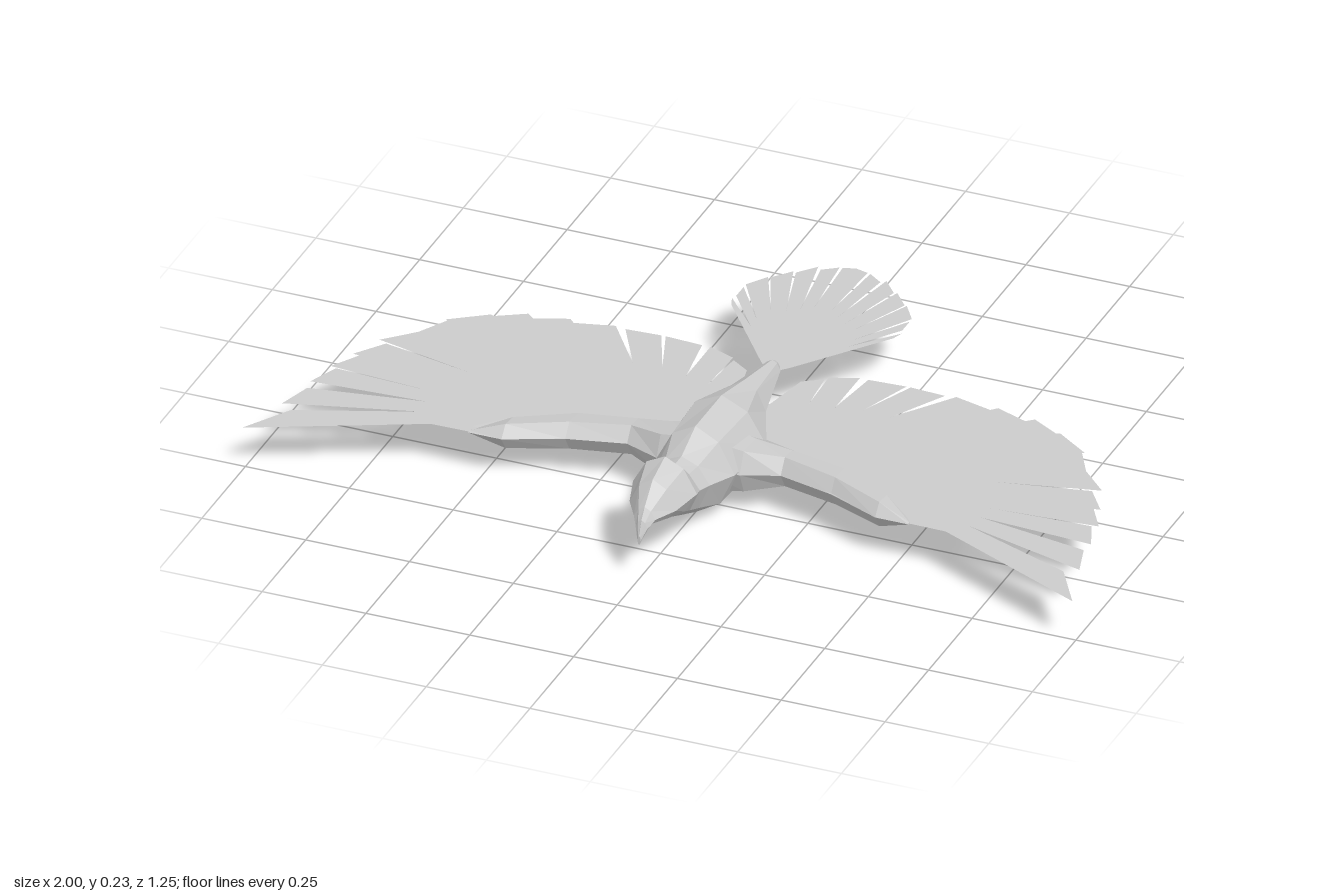
import * as THREE from 'three';

const solid = () => new THREE.MeshStandardMaterial({ color: 0xcccccc, flatShading: true });
const thin = () => new THREE.MeshStandardMaterial({ color: 0xcccccc, flatShading: true, side: THREE.DoubleSide });

// Skin a list of equal-length rings (counter-clockwise seen from the far end) and cap both ends
function loft(rings) {
  const n = rings[0].length;
  const index = [];
  for (let i = 0; i < rings.length - 1; i++) {
    for (let j = 0; j < n; j++) {
      const a = i * n + j, b = i * n + (j + 1) % n;
      index.push(a, b, b + n, a, b + n, a + n);
    }
  }
  const last = (rings.length - 1) * n;
  for (let j = 1; j < n - 1; j++) {
    index.push(0, j + 1, j, last, last + j, last + j + 1);
  }
  const geo = new THREE.BufferGeometry();
  geo.setAttribute('position', new THREE.Float32BufferAttribute(rings.flat(2), 3));
  geo.setIndex(index);
  const flat = geo.toNonIndexed();
  flat.computeVertexNormals();
  return flat;
}

// Flat sheet from [x, z] outline points at height y
function sheet(points, y) {
  const shape = new THREE.Shape(points.map(([x, z]) => new THREE.Vector2(x, z)));
  return new THREE.ShapeGeometry(shape).rotateX(Math.PI / 2).translate(0, y, 0);
}

function add(group, name, geometry, material) {
  const mesh = new THREE.Mesh(geometry, material);
  mesh.name = name;
  group.add(mesh);
}

// Octagonal body section: z, half width, top, side height, bottom
function bodyRing([z, w, top, mid, bottom]) {
  const up = mid + (top - mid) * 0.72, low = mid + (bottom - mid) * 0.7;
  return [
    [w, mid, z], [w * 0.58, up, z], [0, top, z], [-w * 0.58, up, z],
    [-w, mid, z], [-w * 0.62, low, z], [0, bottom, z], [w * 0.62, low, z],
  ];
}

// Six-sided arm section: x, front z, front ridge z, back ridge z, trailing z, upper y, lower y
function armRing([x, front, ridge, back, trail, hi, lo]) {
  return [
    [x, hi - 0.005, back], [x, hi, ridge], [x, 0.113, front],
    [x, lo, ridge], [x, lo + 0.005, back], [x, 0.115, trail],
  ];
}

const BODY = [
  [-0.155, 0.012, 0.153, 0.14, 0.128],
  [-0.14, 0.02, 0.162, 0.138, 0.118],
  [0.02, 0.052, 0.195, 0.125, 0.088],
  [0.15, 0.108, 0.225, 0.12, 0.005],
  [0.3, 0.095, 0.225, 0.12, 0.005],
  [0.38, 0.068, 0.19, 0.13, 0.04],
  [0.425, 0.063, 0.19, 0.14, 0.06],
  [0.475, 0.077, 0.24, 0.16, 0.088],
  [0.545, 0.056, 0.218, 0.15, 0.115],
  [0.592, 0.026, 0.172, 0.145, 0.127],
  [0.61, 0.014, 0.148, 0.128, 0.108],
  [0.624, 0.004, 0.115, 0.103, 0.092],
];

const ARM = [
  [0.03, 0.3, 0.27, 0.18, 0.1, 0.175, 0.05],
  [0.1, 0.285, 0.262, 0.19, 0.12, 0.162, 0.06],
  [0.185, 0.252, 0.228, 0.185, 0.145, 0.148, 0.074],
  [0.32, 0.285, 0.262, 0.21, 0.18, 0.145, 0.076],
  [0.45, 0.342, 0.318, 0.275, 0.26, 0.14, 0.078],
  [0.53, 0.342, 0.337, 0.325, 0.315, 0.116, 0.11],
];

// Wing feather tips: leading corner x, z and trailing corner x, z
const WING_TIPS = [
  [1, 0.52, 0.93, 0.405], [0.96, 0.385, 0.935, 0.3], [0.94, 0.27, 0.91, 0.195],
  [0.925, 0.19, 0.88, 0.115], [0.9, 0.12, 0.85, 0.05], [0.87, 0.04, 0.8, -0.03],
  [0.81, -0.015, 0.76, -0.105], [0.77, -0.1, 0.685, -0.16], [0.695, -0.145, 0.61, -0.195],
  [0.605, -0.175, 0.515, -0.21], [0.505, -0.195, 0.41, -0.22], [0.385, -0.215, 0.3, -0.22],
  [0.29, -0.22, 0.2, -0.215], [0.18, -0.215, 0.115, -0.19], [0.11, -0.18, 0.065, -0.15],
];

// Curve on which the slits between the wing feathers end
const SLITS = new THREE.CatmullRomCurve3(
  [[0.66, 0.3], [0.67, 0.2], [0.62, 0.08], [0.52, -0.01], [0.4, -0.06], [0.25, -0.08], [0.12, -0.06]]
    .map(([x, z]) => new THREE.Vector3(x, 0, z)));

// Tail feather tips from the centre outward
const TAIL_TIPS = [
  [0, -0.625, 0.03, -0.617], [0.037, -0.615, 0.072, -0.59], [0.082, -0.6, 0.118, -0.557],
  [0.125, -0.56, 0.162, -0.515], [0.167, -0.515, 0.2, -0.465], [0.2, -0.453, 0.2, -0.41],
  [0.205, -0.398, 0.195, -0.37],
];

function wingOutline() {
  const points = [[0, 0.22], [0.185, 0.235], [0.46, 0.34], [0.62, 0.342]];
  WING_TIPS.forEach(([ax, az, bx, bz], i) => {
    points.push([ax, az], [bx, bz]);
    if (i < WING_TIPS.length - 1) {
      const p = SLITS.getPoint(i / (WING_TIPS.length - 2));
      points.push([p.x, p.z]);
    }
  });
  points.push([0.04, -0.03], [0, -0.03]);
  return points;
}

function tailOutline() {
  const half = [];
  TAIL_TIPS.forEach(([ax, az, bx, bz], i) => {
    if (i > 0) half.push([ax, az]);
    half.push([bx, bz]);
    const next = TAIL_TIPS[i + 1];
    if (next) { // slit running toward the tail root
      const mx = (bx + next[0]) / 2, mz = (bz + next[1]) / 2;
      half.push([mx * 0.58, -0.15 + (mz + 0.15) * 0.58]);
    }
  });
  half.push([0.035, -0.16], [0.012, -0.135]);
  const mirrored = half.map(([x, z]) => [-x, z]).reverse();
  return [[0, -0.625], ...half, ...mirrored];
}

export function createModel() {
  const model = new THREE.Group();
  model.name = 'bird';

  // Body, neck, head and hooked beak in one skin
  add(model, 'body', loft(BODY.map(bodyRing)), solid());

  // Wings
  for (const [side, s] of [['left', 1], ['right', -1]]) {
    const wing = new THREE.Group();
    wing.name = side + 'Wing';
    const rings = ARM.map(armRing).map(r => r.map(([x, y, z]) => [s * x, y, z]));
    if (s < 0) rings.reverse();
    add(wing, side + 'WingArm', loft(rings), solid());
    add(wing, side + 'WingFeathers', sheet(wingOutline().map(([x, z]) => [s * x, z]), 0.115), thin());
    model.add(wing);
  }

  // Tail fan
  add(model, 'tailFeathers', sheet(tailOutline(), 0.138), thin());

  return model;
}
